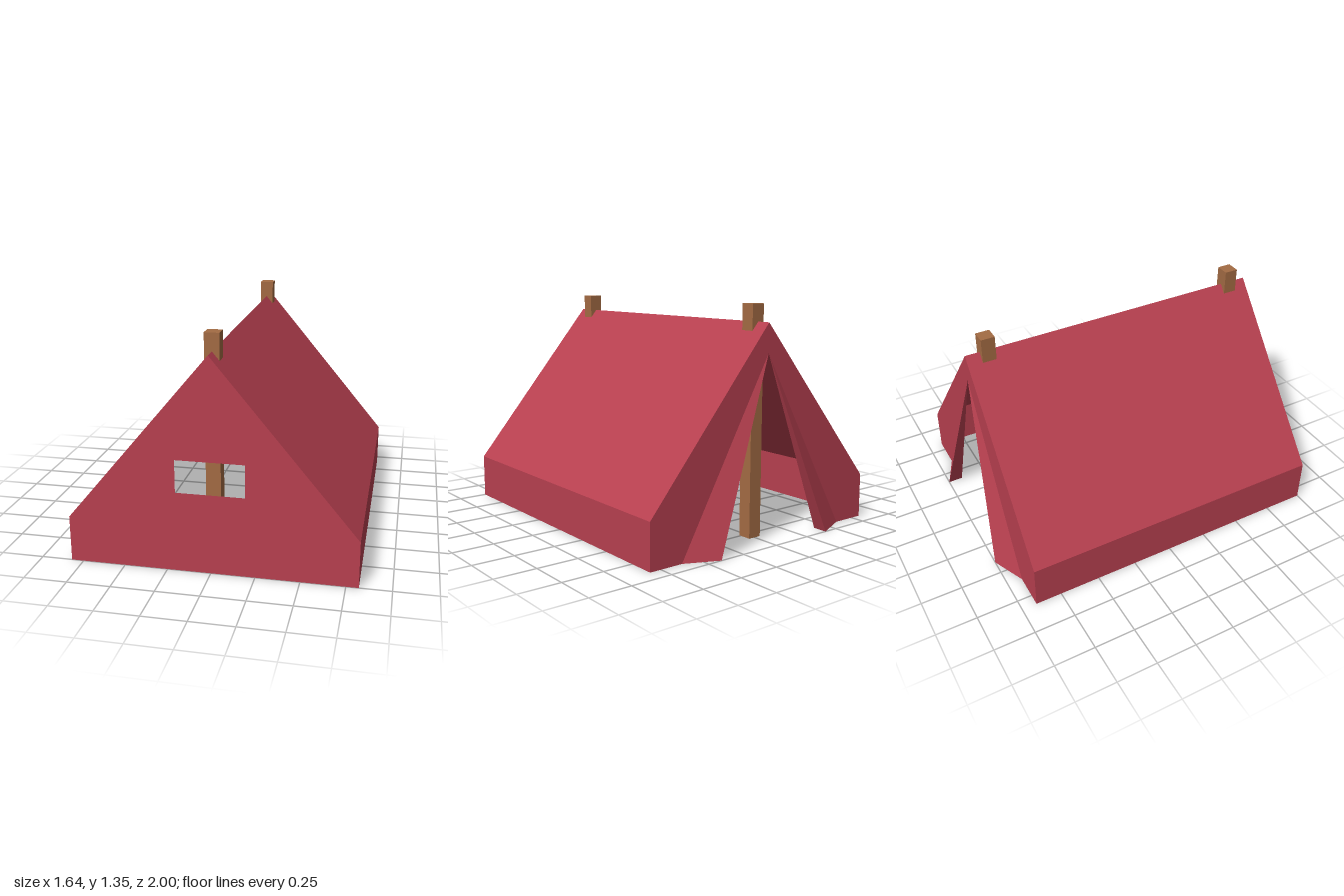
import * as THREE from 'three';

const W = 0.82, EAVE = 0.27, RIDGE = 1.25, FRONT = 1, BACK = -0.91;
const APEX = 1.08, OPEN = 0.41; // top and half width of the entrance

const cloth = new THREE.MeshStandardMaterial({ color: 0xb84050, flatShading: true, side: THREE.DoubleSide });
const wood = new THREE.MeshStandardMaterial({ color: 0xa46c44, flatShading: true });

const outline = (pts) => pts.map(([x, y]) => new THREE.Vector2(x, y));

function add(group, name, geometry, material) {
  const mesh = new THREE.Mesh(geometry, material);
  mesh.name = name;
  group.add(mesh);
  return mesh;
}

// Flat-sided surface from triangles given as corner points
function facets(triangles) {
  const g = new THREE.BufferGeometry();
  g.setAttribute('position', new THREE.Float32BufferAttribute(triangles.flat(2), 3));
  g.computeVertexNormals();
  return g;
}

export function createModel() {
  const tent = new THREE.Group();
  tent.name = 'tent';

  // Front gable with a rectangular window
  const gable = new THREE.Shape(outline([[-W, 0], [W, 0], [W, EAVE], [0, RIDGE], [-W, EAVE]]));
  gable.holes.push(new THREE.Path(outline([[-0.195, 0.47], [-0.195, 0.66], [0.195, 0.66], [0.195, 0.47]])));
  add(tent, 'frontGable', new THREE.ShapeGeometry(gable), cloth).position.z = FRONT;

  // Back gable with a triangular entrance, facing backwards
  const entry = new THREE.Shape(outline([
    [-W, 0], [-OPEN, 0], [0, APEX], [OPEN, 0], [W, 0], [W, EAVE], [0, RIDGE], [-W, EAVE],
  ]));
  const backGable = add(tent, 'backGable', new THREE.ShapeGeometry(entry), cloth);
  backGable.rotation.y = Math.PI;
  backGable.position.z = BACK;

  for (const [side, s] of [['left', 1], ['right', -1]]) {
    // Corners are reversed on the mirrored side so that faces point outwards
    const tri = (a, b, c) => (s > 0 ? [a, b, c] : [a, c, b]);
    const quad = (a, b, c, d) => [tri(a, b, c), tri(a, c, d)];
    const p = (x, y, z) => [s * x, y, z];

    // Side wall and roof slope
    add(tent, side + 'Wall', facets(quad(
      p(W, 0, FRONT), p(W, 0, BACK), p(W, EAVE, BACK), p(W, EAVE, FRONT))), cloth);
    add(tent, side + 'Roof', facets(quad(
      p(W, EAVE, FRONT), p(W, EAVE, BACK), p(0, RIDGE, BACK), p(0, RIDGE, FRONT))), cloth);

    // Folded entrance flap: outer face, inner fold and underside
    const top = p(0, APEX, BACK), tip = p(OPEN, 0, -1);
    const outer = p(0.61, 0, BACK), inner = p(OPEN, 0, BACK);
    add(tent, side + 'Flap', facets([
      tri(top, outer, tip), tri(top, tip, inner), tri(tip, outer, inner),
    ]), cloth);
  }

  // Tent poles poking through the ridge
  for (const [name, z] of [['frontPole', 0.87], ['backPole', -0.78]]) {
    add(tent, name, new THREE.BoxGeometry(0.084, 1.35, 0.084), wood).position.set(0, 0.675, z);
  }

  return tent;
}
